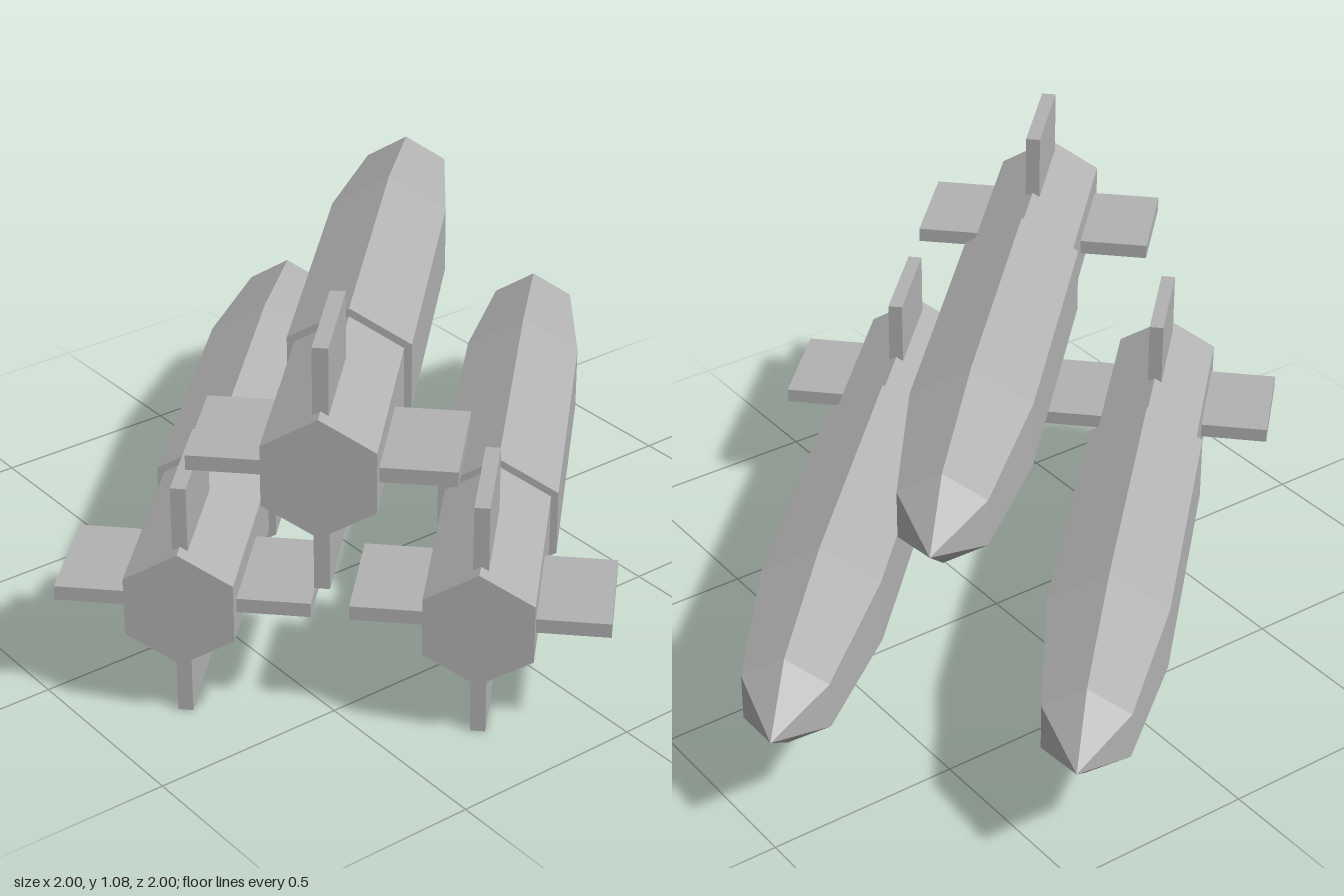
import * as THREE from 'three';

const grey = new THREE.MeshStandardMaterial({ color: 0xb2b2b2, flatShading: true });
grey.name = 'missile grey';

// Six-sided section along z, with an edge on top
function section(name, zBack, rBack, zFront, rFront) {
  const geo = new THREE.CylinderGeometry(rFront, rBack, zFront - zBack, 6);
  geo.rotateX(Math.PI / 2);
  geo.translate(0, 0, (zBack + zFront) / 2);
  const mesh = new THREE.Mesh(geo, grey);
  mesh.name = name;
  return mesh;
}

// One fin, turned about the missile's axis
function fin(name, angle) {
  const inner = 0.1, outer = 0.309;
  const geo = new THREE.BoxGeometry(0.037, outer - inner, 0.288);
  geo.translate(0, (inner + outer) / 2, 0.184);
  geo.rotateZ(angle);
  const mesh = new THREE.Mesh(geo, grey);
  mesh.name = name;
  return mesh;
}

// Missile with its tail at the origin, pointing along +z
function missile(name) {
  const g = new THREE.Group();
  g.name = name;
  g.add(
    section('tailSection', 0, 0.152, 0.514, 0.152),
    section('rearBody', 0.514, 0.173, 1.006, 0.173),
    section('frontBody', 1.006, 0.173, 1.295, 0.173),
    section('noseTaper', 1.295, 0.173, 1.686, 0.122),
    section('noseTip', 1.686, 0.122, 1.846, 0)
  );
  ['topFin', 'sideFinA', 'bottomFin', 'sideFinB'].forEach((n, i) => g.add(fin(n, i * Math.PI / 2)));
  return g;
}

export function createModel() {
  const model = new THREE.Group();
  model.name = 'missileCluster';
  // Two missiles below and one above between them, all set diagonally
  const places = [
    ['lowerRearMissile', -0.81, 0.31, 0.305],
    ['upperMissile', -0.655, 0.77, 0.655],
    ['lowerFrontMissile', -0.308, 0.31, 0.806],
  ];
  for (const [name, x, y, z] of places) {
    const m = missile(name);
    m.position.set(x, y, z);
    m.rotation.y = Math.PI * 0.75;
    model.add(m);
  }
  return model;
}
